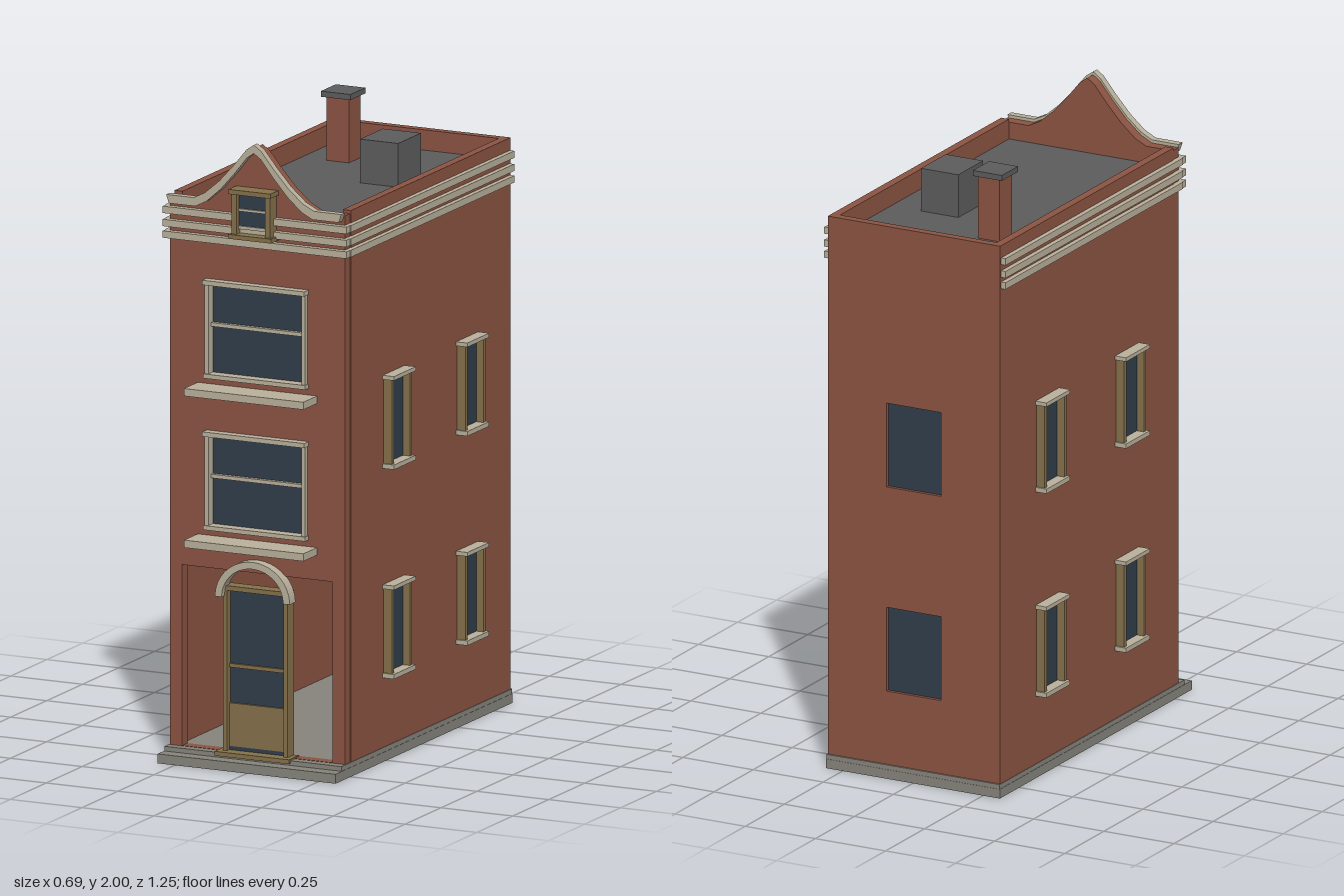
import * as THREE from 'three';

const paint = (name, color) => {
  const m = new THREE.MeshStandardMaterial({ color });
  m.name = name;
  return m;
};

export function createModel() {
  const brick = paint('brick', 0x8a5342);
  const cream = paint('cream trim', 0xb8af9b);
  const tan = paint('tan wood', 0x84704a);
  const glass = paint('dark glass', 0x2f3d49);
  const slate = paint('roof grey', 0x5c5c5c);
  const stone = paint('plinth stone', 0x85837b);
  const model = new THREE.Group();
  model.name = 'townhouse';

  const add = (parent, name, geometry, material) => {
    const mesh = new THREE.Mesh(geometry, material);
    mesh.name = name;
    parent.add(mesh);
    return mesh;
  };
  // Box given by its limits on each axis
  const box = (parent, name, mat, x0, x1, y0, y1, z0, z1) => {
    const mesh = add(parent, name, new THREE.BoxGeometry(x1 - x0, y1 - y0, z1 - z0), mat);
    mesh.position.set((x0 + x1) / 2, (y0 + y1) / 2, (z0 + z1) / 2);
    return mesh;
  };
  const rectHole = (x0, x1, y0, y1) => new THREE.Path().moveTo(x0, y0)
    .lineTo(x0, y1).lineTo(x1, y1).lineTo(x1, y0).closePath();
  const slab = (parent, name, mat, shape, z0, z1) => {
    const g = new THREE.ExtrudeGeometry(shape, { depth: z1 - z0, bevelEnabled: false, curveSegments: 16 });
    return add(parent, name, g.translate(0, 0, z0), mat);
  };
  const group = (name) => {
    const g = new THREE.Group();
    g.name = name;
    model.add(g);
    return g;
  };

  // Stepped plinth; its top is the floor inside
  box(model, 'plinth', stone, -0.31, 0.31, 0, 0.03, -0.625, 0.605);
  box(model, 'floor', stone, -0.309, 0.309, 0.03, 0.045, -0.624, 0.56);

  // Front wall with curved gable, doorway and window openings
  const half = [[0.21, 1.805], [0.17, 1.825], [0.12, 1.868], [0.07, 1.923], [0.025, 1.978], [0, 1.995]];
  const ridge = [[-0.305, 1.805], ...half.map(([x, y]) => [-x, y]),
    ...half.slice(0, -1).reverse(), [0.305, 1.805]];
  const front = new THREE.Shape([[-0.305, 0.045], [0.305, 0.045], ...ridge.slice().reverse()
    .map(([x, y]) => [x, y - 0.005])].map(p => new THREE.Vector2(...p)));
  front.holes.push(rectHole(-0.262, 0.262, 0.046, 0.625));
  const frontWindows = [0.75, 1.235];
  frontWindows.forEach(y => front.holes.push(rectHole(-0.165, 0.165, y + 0.01, y + 0.3)));
  slab(model, 'frontWall', brick, front, 0.493, 0.53);

  // Coping that follows the gable
  const band = [...ridge.map(([x, y]) => [x, y + 0.005]),
    ...ridge.slice().reverse().map(([x, y]) => [x * 0.97, y - 0.022])];
  slab(model, 'gableCoping', cream, new THREE.Shape(band.map(p => new THREE.Vector2(...p))), 0.53, 0.555);

  // Side walls, and back wall with two openings
  for (const s of [-1, 1]) {
    const w = box(model, 'sideWall', brick, -0.014, 0.014, 0.045, 1.81, -0.592, 0.493);
    w.position.x = s * 0.293;
  }
  const storeys = [0.275, 0.945];
  const back = new THREE.Shape([[-0.307, 0.045], [0.307, 0.045], [0.307, 1.81], [-0.307, 1.81]]
    .map(p => new THREE.Vector2(...p)));
  storeys.forEach(y => back.holes.push(rectHole(-0.097, 0.097, y + 0.01, y + 0.285)));
  slab(model, 'backWall', brick, back, -0.618, -0.59);
  storeys.forEach(y => box(model, 'backWindowGlass', glass, -0.1, 0.1, y, y + 0.29, -0.606, -0.598));

  // Roof, hatch and chimney
  box(model, 'roof', slate, -0.28, 0.28, 1.72, 1.745, -0.592, 0.495);
  box(model, 'roofHatch', slate, 0.04, 0.173, 1.745, 1.885, -0.262, -0.103);
  box(model, 'chimney', brick, -0.19, -0.112, 1.745, 1.95, -0.41, -0.33);
  box(model, 'chimneyCap', slate, -0.203, -0.1, 1.95, 1.968, -0.42, -0.316);

  // Three cornice bands around front and sides
  const cornice = group('cornice');
  for (const y of [1.669, 1.706, 1.748]) {
    box(cornice, 'frontBand', cream, -0.32, 0.32, y, y + 0.022, 0.525, 0.55);
    for (const s of [-1, 1]) {
      const b = box(cornice, 'sideBand', cream, -0.01, 0.01, y, y + 0.022, -0.612, 0.525);
      b.position.x = s * 0.313;
    }
  }

  // Large front windows
  for (const y of frontWindows) {
    const g = group('frontWindow');
    box(g, 'glass', glass, -0.168, 0.168, y, y + 0.31, 0.508, 0.516);
    for (const x of [-0.175, 0.162]) box(g, 'jamb', cream, x, x + 0.013, y, y + 0.31, 0.51, 0.548);
    box(g, 'bottomRail', cream, -0.178, 0.178, y, y + 0.014, 0.51, 0.553);
    box(g, 'lintel', cream, -0.178, 0.178, y + 0.3, y + 0.315, 0.51, 0.56);
    box(g, 'middleBar', cream, -0.165, 0.165, y + 0.163, y + 0.175, 0.512, 0.53);
    box(g, 'sill', cream, -0.208, 0.208, y - 0.045, y - 0.021, 0.525, 0.625);
  }

  // Attic window in the gable
  const attic = group('atticWindow');
  box(attic, 'glass', glass, -0.055, 0.055, 1.735, 1.845, 0.548, 0.556);
  for (const x of [-0.067, 0.05]) box(attic, 'jamb', tan, x, x + 0.017, 1.712, 1.845, 0.53, 0.575);
  box(attic, 'lintel', tan, -0.073, 0.073, 1.842, 1.857, 0.53, 0.585);
  box(attic, 'sill', tan, -0.075, 0.075, 1.699, 1.713, 0.53, 0.585);
  box(attic, 'bottomRail', cream, -0.05, 0.05, 1.728, 1.738, 0.548, 0.562);
  box(attic, 'middleBar', cream, -0.05, 0.05, 1.785, 1.793, 0.55, 0.562);

  // Side windows, mirrored
  for (const s of [-1, 1]) for (const z of [0.195, -0.315]) for (const y of storeys) {
    const g = group('sideWindow');
    g.position.set(s * 0.306, 0, z);
    g.rotation.y = s * Math.PI / 2;
    box(g, 'glass', glass, -0.06, 0.06, y + 0.005, y + 0.28, -0.002, 0.005);
    for (const x of [-0.07, 0.056]) box(g, 'jamb', tan, x, x + 0.014, y + 0.005, y + 0.28, 0, 0.03);
    box(g, 'lintel', cream, -0.076, 0.076, y + 0.278, y + 0.291, 0, 0.04);
    box(g, 'sill', cream, -0.076, 0.076, y - 0.007, y + 0.008, 0, 0.04);
  }

  // Glazed front door
  const door = group('frontDoor');
  box(door, 'glass', glass, -0.1, 0.1, 0.195, 0.566, 0.512, 0.52);
  box(door, 'lowerPanel', tan, -0.1, 0.1, 0.062, 0.2, 0.51, 0.528);
  box(door, 'bottomStrip', glass, -0.098, 0.098, 0.05, 0.062, 0.512, 0.528);
  box(door, 'middleBar', tan, -0.1, 0.1, 0.314, 0.326, 0.512, 0.528);
  for (const x of [-0.113, 0.098]) box(door, 'jamb', tan, x, x + 0.015, 0.045, 0.578, 0.5, 0.545);
  box(door, 'head', tan, -0.113, 0.113, 0.563, 0.578, 0.5, 0.546);
  box(door, 'threshold', tan, -0.13, 0.13, 0.036, 0.05, 0.5, 0.57);

  // Arch over the door
  const arch = new THREE.Shape();
  arch.absellipse(0, 0.545, 0.13, 0.122, 0, Math.PI, false);
  arch.absellipse(0, 0.545, 0.107, 0.1, Math.PI, 0, true);
  slab(model, 'doorArch', cream, arch, 0.525, 0.565);

  return model;
}
